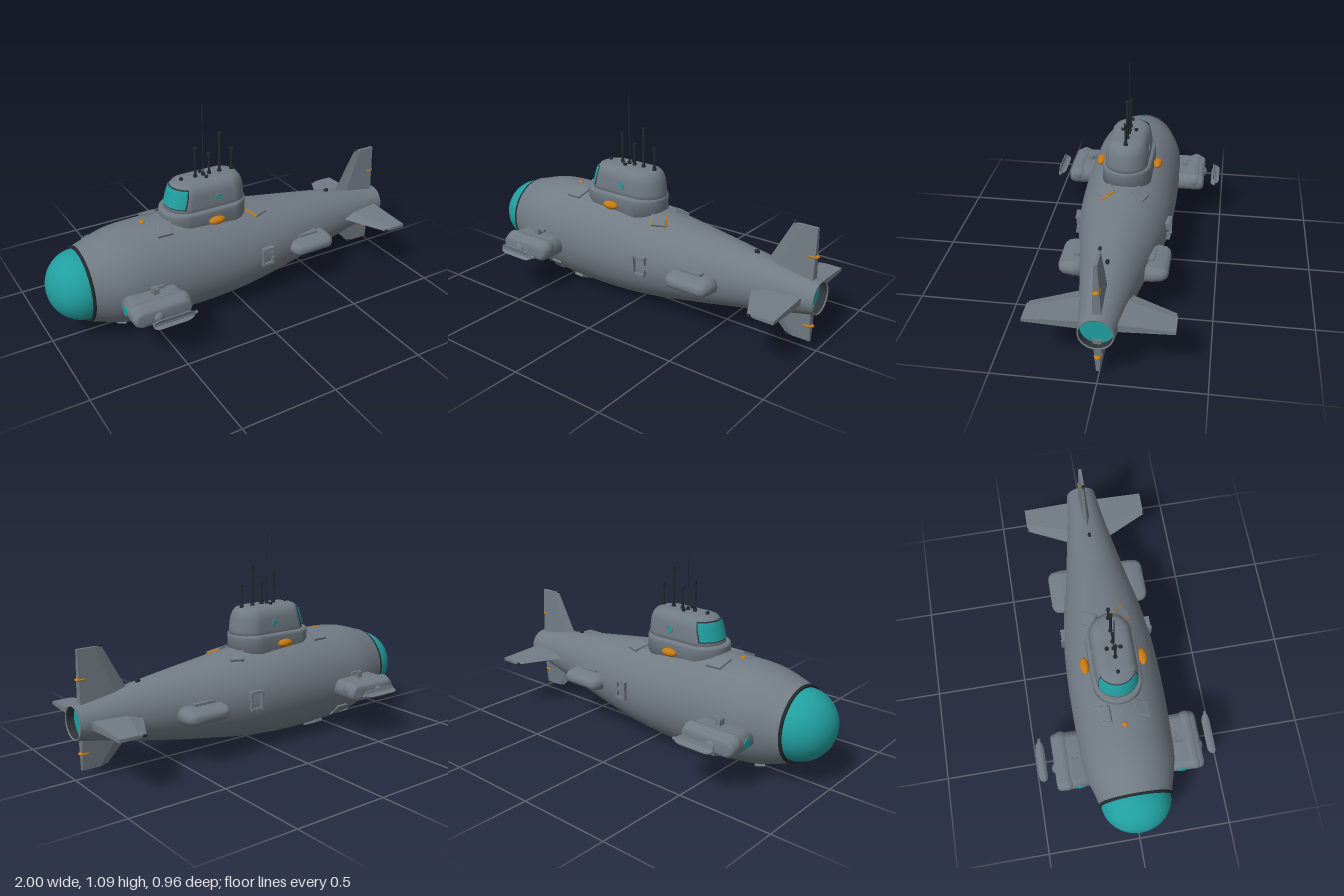
import * as THREE from 'three';

const mat = (name, color, side = THREE.FrontSide) => {
  const m = new THREE.MeshStandardMaterial({ color, side });
  m.name = name;
  return m;
};

// Hull stations evenly spaced from bow to stern: top y, bottom y, half width
const X0 = -0.83, X1 = 1;
const stations = new THREE.CatmullRomCurve3([
  [.485, .10, .19], [.535, .04, .24], [.545, .02, .251], [.545, .015, .254], [.533, .02, .252], [.508, .037, .24],
  [.482, .065, .212], [.457, .095, .175], [.43, .13, .14], [.40, .168, .108], [.37, .208, .083],
].map(p => new THREE.Vector3(...p)), false, 'catmullrom', 0.5);

// Point on the hull at x; angle a runs from the top towards +z
function hullPoint(x, a) {
  const s = stations.getPoint(THREE.MathUtils.clamp((x - X0) / (X1 - X0), 0, 1));
  return new THREE.Vector3(x, (s.x + s.y) / 2 + (s.x - s.y) / 2 * Math.cos(a), s.z * Math.sin(a));
}

// Skin a list of rings; faces are turned outward by the sign of the volume
function loft(rings, { closed = true, cap = true, flat = false } = {}) {
  const n = rings[0].length, pts = rings.flat(), idx = [];
  for (let i = 0; i < rings.length - 1; i++)
    for (let j = 0; j < (closed ? n : n - 1); j++) {
      const k = (j + 1) % n, a = i * n + j, b = i * n + k;
      idx.push(a, b, b + n, a, b + n, a + n);
    }
  if (cap) [0, rings.length - 1].forEach((r, e) => {
    const c = pts.length;
    pts.push(rings[r].reduce((s, p) => s.add(p), new THREE.Vector3()).divideScalar(n));
    for (let j = 0; j < n; j++) {
      const a = r * n + j, b = r * n + (j + 1) % n;
      e ? idx.push(c, a, b) : idx.push(c, b, a);
    }
  });
  let vol = 0;
  for (let i = 0; i < idx.length; i += 3)
    vol += pts[idx[i]].dot(pts[idx[i + 1]].clone().cross(pts[idx[i + 2]]));
  if (vol < 0) idx.reverse();
  let g = new THREE.BufferGeometry().setFromPoints(pts);
  g.setIndex(idx);
  if (flat) g = g.toNonIndexed();
  g.computeVertexNormals();
  return g;
}

// Stadium outline from angle a0 to a1
function stadium(half, r, map, n = 40, a0 = 0, a1 = Math.PI * 2, open = false) {
  return Array.from({ length: open ? n + 1 : n }, (_, i) => {
    const a = a0 + (a1 - a0) * i / n, c = Math.cos(a);
    const shift = Math.abs(c) < 1e-6 ? 0 : Math.sign(c) * (half - r);
    return map(shift + r * c, r * Math.sin(a));
  });
}

export function createModel() {
  const root = new THREE.Group();
  const grey = mat('hull grey', 0x717b84), dark = mat('dark metal', 0x24292d);
  const teal = mat('teal glass', 0x219e9f, THREE.DoubleSide), orange = mat('orange', 0xc87a12);
  const lining = mat('dark lining', 0x2f363b, THREE.DoubleSide);
  const V = (x, y, z) => new THREE.Vector3(x, y, z);
  const add = (name, geo, m, x = 0, y = 0, z = 0) => {
    const mesh = new THREE.Mesh(geo, m);
    mesh.name = name;
    mesh.position.set(x, y, z);
    root.add(mesh);
    return mesh;
  };
  const ball = (name, m, x, y, z, rx, ry = rx, rz = rx) =>
    add(name, new THREE.SphereGeometry(1, 32, 20), m, x, y, z).scale.set(rx, ry, rz);
  const box = (name, m, x, y, z, w, h, d) => add(name, new THREE.BoxGeometry(w, h, d), m, x, y, z);

  // Hull
  const hullRings = [];
  for (let i = 0; i <= 60; i++) {
    const x = X0 + (X1 - X0) * i / 60;
    hullRings.push(Array.from({ length: 64 }, (_, j) => hullPoint(x, j / 64 * Math.PI * 2)));
  }
  add('hull', loft(hullRings, { cap: false }), grey);

  // Bow dome and its seal
  ball('bowDome', teal, -0.83, .295, 0, .17, .177, .185);
  const seal = add('domeSeal', new THREE.TorusGeometry(.186, .009, 10, 64), dark, -0.828, .293, 0);
  seal.rotation.y = Math.PI / 2;

  // Hollow stern
  const tube = add('sternLining', new THREE.CylinderGeometry(.079, .082, .05, 40, 1, true), lining, .975, .289, 0);
  tube.rotation.z = -Math.PI / 2;
  add('sternGlass', new THREE.CircleGeometry(.08, 40), teal, .955, .289, 0).rotation.y = Math.PI / 2;
  add('sternRim', new THREE.TorusGeometry(.08, .004, 8, 40), grey, .997, .289, 0).rotation.y = Math.PI / 2;

  // Tower: levels are y, front x, rear x, half width
  const level = (y, f, b, r, a0, a1, n, open) =>
    stadium((b - f) / 2, r, (u, v) => V((f + b) / 2 + u, y, v), n, a0, a1, open);
  add('towerSkirt', loft([[.44, -.38, .092, .13], [.565, -.38, .092, .13], [.578, -.377, .09, .127],
    [.582, -.365, .08, .115]].map(l => level(...l))), grey);
  add('tower', loft([[.56, -.356, .088, .111], [.60, -.35, .086, .111], [.66, -.333, .078, .109], [.69, -.322, .067, .1],
    [.708, -.307, .052, .085], [.717, -.285, .032, .065], [.72, -.25, 0, .04]].map(l => level(...l))), grey);
  // Wraparound tower window
  for (const [name, m, grow, off] of [['windowFrame', lining, .06, .002], ['towerWindow', teal, 0, .004]])
    add(name, loft([[.604 - grow * .1, -.349, .086, .111], [.66, -.333, .078, .109], [.69, -.322, .067, .1],
      [.696 + grow * .1, -.317, .062, .096]].map(([y, f, b, r]) =>
      level(y, f - off, b + off, r + off, Math.PI - 1.08 - grow, Math.PI + 1.08 + grow, 24, true)),
    { closed: false, cap: false }), m);

  // Masts: x, top y, radius
  for (const [x, top, r] of [[-.18, .88, .006], [-.135, 1.1, .0025], [-.1, .835, .006], [-.04, .93, .007], [.03, .835, .006]]) {
    add('mast', new THREE.CylinderGeometry(r, r, top - .71, 12), dark, x, (top + .71) / 2, 0);
    add('mastFoot', new THREE.CylinderGeometry(.009, .012, .018, 12), dark, x, .725, 0);
    if (r > .004) add('mastHead', new THREE.CylinderGeometry(.01, .008, .022, 12), dark, x, top - .011, 0);
  }
  ball('towerLight', dark, -.26, .727, 0, .01);

  // Fins: span direction, then root and tip as [span, lead x, trail x, half thickness]
  const fin = (name, map, root2, tip) => add(name, loft([root2, tip].map(([s, f, b, t]) =>
    [[f, 0], [f + (b - f) * .3, t], [b, t], [b, -t], [f + (b - f) * .3, -t]].map(([x, w]) => map(x, s, w))),
  { flat: true }), grey);
  fin('upperFin', (x, s, w) => V(x, s, w), [.36, .69, .965, .021], [.633, .84, .965, .008]);
  fin('lowerFin', (x, s, w) => V(x, s, w), [.23, .66, .965, .021], [.05, .835, .965, .008]);
  ball('finTip', dark, .845, .637, 0, .012, .008, .008);
  ball('finTip', dark, .845, .05, 0, .012, .008, .008);
  for (const y of [.49, .132]) ball('finLight', orange, .948, y, 0, .032, .009, .019);

  // Hull plates: rounded panels laid along the surface
  const plate = (name, m, x, a, w, h, d, skew = 0) => {
    const s = new THREE.Shape([[-1, -1], [1, -1], [1, 1], [-1, 1]].map(([i, j]) =>
      new THREE.Vector2(i * w / 2 + j * skew, j * h / 2)));
    const p = hullPoint(x, a), e = .01;
    const n = hullPoint(x, a + e).sub(hullPoint(x, a - e)).cross(hullPoint(x + e, a).sub(hullPoint(x - e, a))).normalize();
    const mesh = add(name, new THREE.ExtrudeGeometry(s, { depth: d, bevelThickness: .003, bevelSize: .004, bevelSegments: 2 }),
      m, p.x, p.y, p.z);
    mesh.lookAt(p.clone().add(n));
    mesh.translateZ(-d * .5);
  };

  for (const s of [1, -1]) {
    // Side fin
    fin('sideFin', (x, t, w) => V(x, .29 + w, s * t), [.06, .67, .945, .021], [.345, .81, .945, .008]);
    ball('finTip', dark, .82, .29, s * .345, .012, .007, .007);

    // Tower lamps, portholes and vents
    ball('lamp', orange, -.14, .532, s * .153, .045, .021, .023);
    const port = add('porthole', new THREE.CylinderGeometry(.016, .016, .008, 24), teal, -.105, .635, s * .109);
    port.rotation.x = Math.PI / 2;
    add('portholeRim', new THREE.TorusGeometry(.018, .003, 8, 24), grey, -.105, .635, s * .111);
    add('towerVent', new THREE.CylinderGeometry(.012, .006, .016, 12), dark, -.135, .722, s * .035);

    // Hatches and landing pads
    plate('foreHatch', grey, -.41, s * .4, .075, .07, .014, .008);
    if (s > 0) plate('hatchRim', orange, .125, .38, .078, .066, .008, -.008);
    plate('aftHatch', grey, .125, s * .38, .065, .07, .016, -s * .008);
    plate('landingPad', grey, -.39, s * (Math.PI - .4), .05, .085, .018);
    plate('landingPad', grey, -.65, s * (Math.PI - .3), .04, .05, .016);
    plate('bellyHatch', grey, -.5, s * (Math.PI - .85), .06, .06, .01, .008);

    // Side handle
    box('handleBar', grey, .085, .288, s * .24, .012, .1, .03);
    for (const y of [.244, .332]) box('handleArm', grey, .115, y, s * .232, .07, .012, .036);
    for (const y of [.262, .314]) box('handleClip', grey, .146, y, s * .23, .012, .03, .03);

    // Forward thruster wing
    const pod = (cx, cy, rows) => loft(rows.map(([z, half, r]) => stadium(half, r, (u, v) => V(cx + u, cy + v, s * z))));
    add('thrusterWing', pod(-.56, .255, [[.18, .15, .052], [.34, .155, .05], [.372, .155, .048], [.388, .148, .04],
      [.394, .135, .028]]), grey);
    const nose = add('thrusterPod', new THREE.CapsuleGeometry(.042, .235, 8, 24), grey, -.56, .27, s * .34);
    nose.rotation.z = Math.PI / 2;
    ball('wingHub', grey, -.59, .25, s * .39, .027, .027, .018);
    const lens = add('wingLight', new THREE.CylinderGeometry(.024, .024, .012, 24), teal, -.708, .255, s * .275);
    lens.rotation.z = Math.PI / 2;
    box('wingBracket', grey, -.555, .318, s * .277, .03, .035, .035);
    box('wingBracketTop', grey, -.54, .332, s * .277, .065, .014, .014);
    box('wingBracketLow', grey, -.555, .203, s * .262, .035, .025, .03);

    // Outrigger spindle with three long blades
    const spindle = add('outriggerSpindle', new THREE.CapsuleGeometry(.008, .22, 6, 12), grey, -.535, .26, s * .455);
    spindle.rotation.z = Math.PI / 2;
    const bladeShape = new THREE.Shape();
    bladeShape.moveTo(-.11, 0);
    bladeShape.quadraticCurveTo(-.115, .026, -.07, .027);
    bladeShape.lineTo(.06, .027);
    bladeShape.quadraticCurveTo(.1, .024, .11, 0);
    for (let i = 0; i < 3; i++) {
      const blade = add('outriggerBlade', new THREE.ExtrudeGeometry(bladeShape, { depth: .005, bevelEnabled: false }),
        grey, -.54, .26, s * .455);
      blade.rotation.x = .25 + i * Math.PI * 2 / 3;
    }

    // Rear stabiliser blister
    add('stabiliser', pod(.405, .268, [[.12, .13, .048], [.2, .13, .042], [.245, .123, .034], [.264, .108, .024],
      [.272, .085, .012]]), grey);
    box('stabiliserRail', grey, .4, .318, s * .185, .12, .012, .03);
    box('stabiliserRail', grey, .4, .218, s * .175, .1, .012, .03);
  }

  // Deck fittings
  ball('deckLight', orange, -.485, .545, 0, .014, .008, .014);
  ball('sternCleat', dark, .655, .432, 0, .014, .012, .01);
  return root;
}
